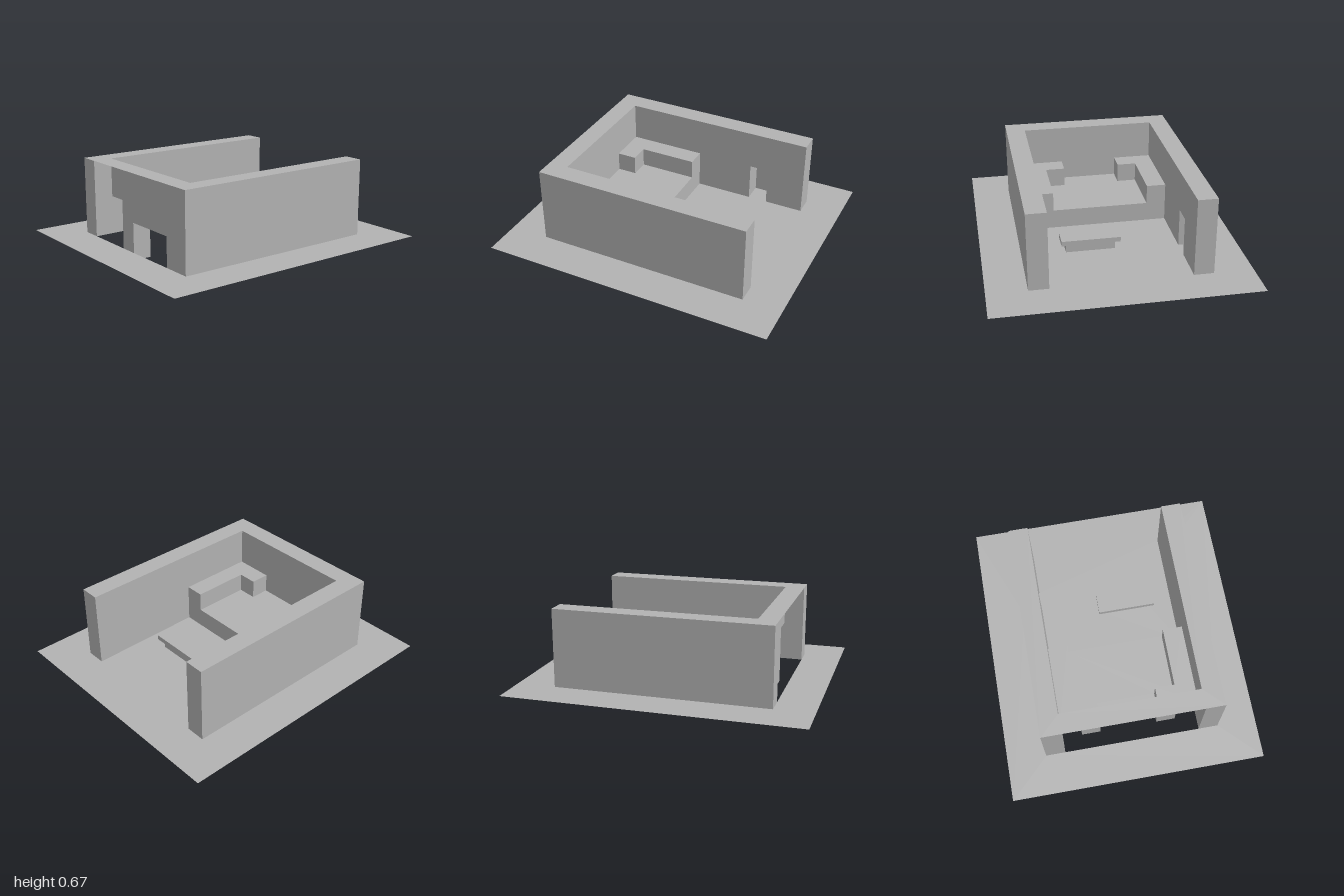
import * as THREE from 'three';

// All dimensions are in modules; one module is 1/15 of a unit.
const U = 1 / 15;

export function createModel() {
  const model = new THREE.Group();
  const grey = new THREE.MeshStandardMaterial({ color: 0xb2b2b2, side: THREE.DoubleSide });
  grey.name = 'plain grey';

  const rect = (a0, a1, b0, b1) => [[a0, b0], [a1, b0], [a1, b1], [a0, b1]];
  const toPoints = (pts) => pts.map(([a, b]) => new THREE.Vector2(a, b));

  function part(name) {
    const group = new THREE.Group();
    group.name = name;
    model.add(group);
    return group;
  }

  // Flat panel across an axis: x takes (z, y), y takes (x, z), z takes (x, y) points.
  // dir is the side the panel faces along that axis.
  function panel(group, name, axis, at, dir, outline, holes = []) {
    const shape = new THREE.Shape(toPoints(outline));
    holes.forEach((h) => shape.holes.push(new THREE.Path(toPoints(h))));
    const geo = new THREE.ShapeGeometry(shape);
    const p = geo.attributes.position;
    for (let i = 0; i < p.count; i++) {
      const a = p.getX(i) * U, b = p.getY(i) * U, c = at * U;
      if (axis === 'x') p.setXYZ(i, c, b, a);
      else if (axis === 'y') p.setXYZ(i, a, c, b);
      else p.setXYZ(i, a, b, c);
    }
    const natural = axis === 'z' ? 1 : -1;
    if (natural !== dir) {
      const idx = geo.index;
      for (let i = 0; i < idx.count; i += 3) {
        const t = idx.getX(i);
        idx.setX(i, idx.getX(i + 1));
        idx.setX(i + 1, t);
      }
    }
    geo.computeVertexNormals();
    const mesh = new THREE.Mesh(geo, grey);
    mesh.name = name;
    group.add(mesh);
  }

  // Ground sheet, left open below the walls, seat and table foot
  const ground = part('ground');
  panel(ground, 'groundSheet', 'y', 2, 1, rect(-13, 13, -15, 15), [
    [[9, -11], [9, 11], [-9, 11], [-9, -5], [-7, -5], [-7, 1], [7, 1], [7, -11]],
    rect(-9, -7, -11, -7),
    rect(-0.5, 4.5, -4.5, -3.5),
  ]);

  // U-shaped wall shell, the right wall having an inner niche
  const walls = part('walls');
  panel(walls, 'wallTop', 'y', 10, 1,
    [[-9, -11], [-7, -11], [-7, 9], [7, 9], [7, -11], [9, -11], [9, 11], [-9, 11]]);
  for (const s of [1, -1]) {
    panel(walls, 'outerFace', 'x', 9 * s, s, rect(-11, 11, 2, 10));
    for (const e of [1, -1]) {
      panel(walls, 'wallEnd', 'z', 11 * e, e, rect(s > 0 ? 7 : -9, s > 0 ? 9 : -7, 2, 10));
    }
  }
  panel(walls, 'leftInnerFace', 'x', 7, -1, rect(-11, 11, 2, 10));
  panel(walls, 'rightInnerFace', 'x', -7, 1,
    [[-11, 2], [-7, 2], [-7, 6], [-5, 6], [-5, 2], [11, 2], [11, 10], [-11, 10]]);

  // Niche reveals
  const niche = part('niche');
  panel(niche, 'nicheHead', 'y', 6, -1, rect(-9, -7, -7, -5));
  panel(niche, 'nicheBackJamb', 'z', -7, 1, rect(-9, -7, 2, 6));
  panel(niche, 'nicheFrontJamb', 'z', -5, -1, rect(-9, -7, 2, 6));

  // Front panel, stepped along its lower edge and running down into the legs
  panel(part('frontPanel'), 'steppedPanel', 'z', 9, 1, [
    [-7, 10], [-7, 6], [-5, 6], [-5, 0], [-3, 0], [-3, 4],
    [3, 4], [3, 0], [5, 0], [5, 6], [7, 6], [7, 10],
  ]);

  // Built-in seat with arms, facing the back
  const seat = part('seat');
  panel(seat, 'seatTop', 'y', 4, 1,
    [[-5, 1], [5, 1], [5, 7], [3, 7], [3, 9], [-3, 9], [-3, 7], [-5, 7]]);
  panel(seat, 'seatFace', 'z', 1, -1,
    [[-7, 2], [7, 2], [7, 6], [5, 6], [5, 4], [-5, 4], [-5, 6], [-7, 6]]);
  for (const s of [1, -1]) {
    panel(seat, 'armTop', 'y', 6, 1,
      [[7, 1], [7, 9], [3, 9], [3, 7], [5, 7], [5, 1]].map(([x, z]) => [x * s, z]));
    panel(seat, 'armInnerFace', 'x', 5 * s, -s, rect(1, 7, 4, 6));
    // Open-bottomed leg columns
    panel(seat, 'legOuterFace', 'x', 5 * s, s, rect(7, 9, 0, 6));
    panel(seat, 'legInnerFace', 'x', 3 * s, -s, rect(7, 9, 0, 6));
    panel(seat, 'legBackFace', 'z', 7, -1, rect(s > 0 ? 3 : -5, s > 0 ? 5 : -3, 0, 6));
  }

  // Low table: slab on an open foot
  const table = part('table');
  const slab = new THREE.Mesh(new THREE.BoxGeometry(6 * U, 0.5 * U, 2 * U), grey);
  slab.name = 'tableTop';
  slab.position.set(2 * U, 3.25 * U, -4 * U);
  table.add(slab);
  for (const s of [1, -1]) {
    panel(table, 'footSide', 'x', 2 + 2.5 * s, s, rect(-4.5, -3.5, 2, 3));
    panel(table, 'footFace', 'z', -4 + 0.5 * s, s, rect(-0.5, 4.5, 2, 3));
  }

  return model;
}
